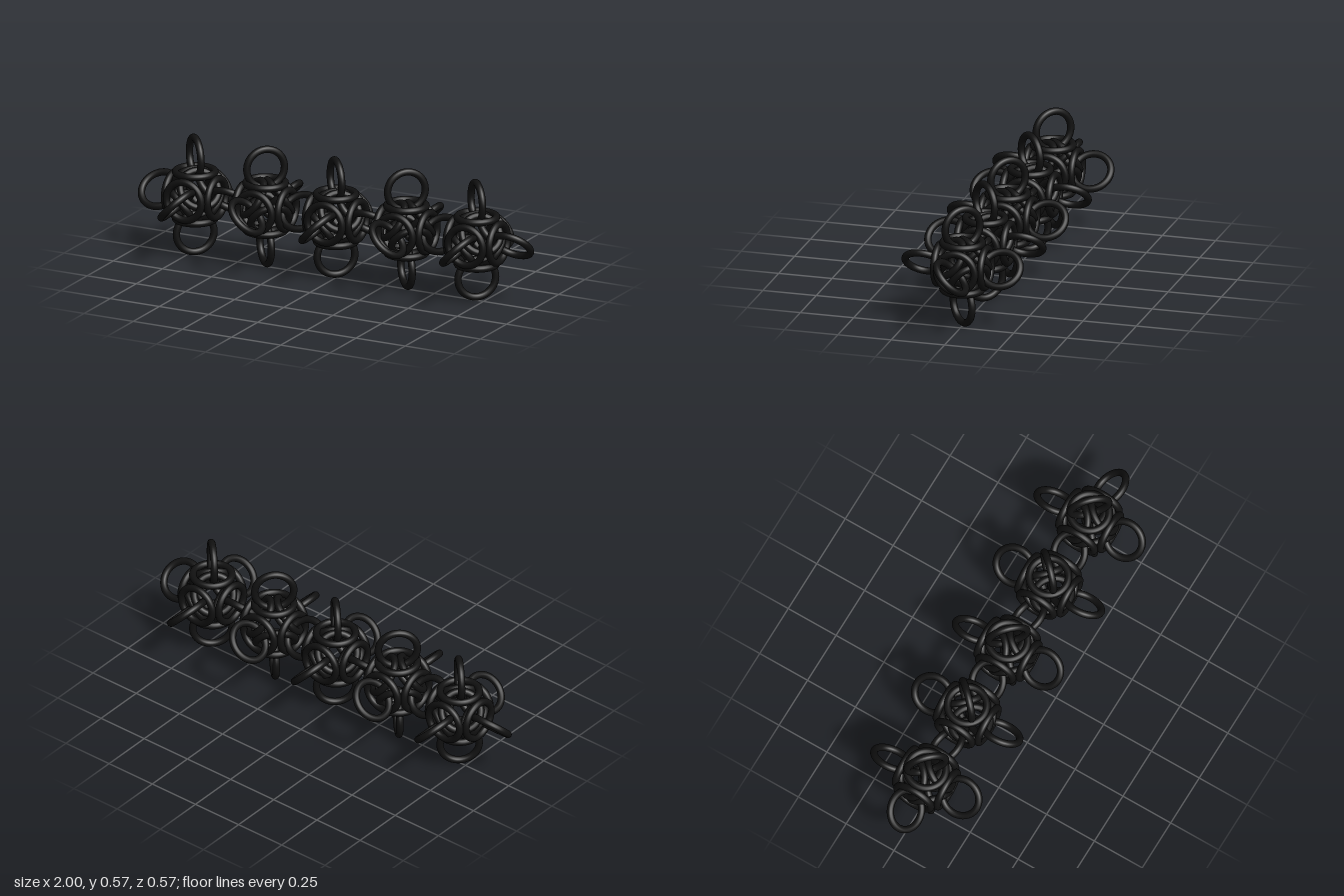
import * as THREE from 'three';

const PITCH = 0.358;        // distance between neighbouring knots
const RING = 0.0885;        // ring centreline radius
const WIRE = 0.0165;        // wire radius
const FACE_OFFSET = 0.109;  // face rings, along the axes
const CORNER_OFFSET = 0.079; // corner rings, along the cube diagonals
const LINK_OFFSET = PITCH / 2;
const CENTRE_Y = LINK_OFFSET + RING + WIRE;
const COUNT = 5;

export function createModel() {
  const model = new THREE.Group();
  model.name = 'ringChain';
  const material = new THREE.MeshStandardMaterial({ color: 0x111111 });
  const geometry = new THREE.TorusGeometry(RING, WIRE, 14, 48);
  const zAxis = new THREE.Vector3(0, 0, 1);

  // one closed wire ring, facing along its normal
  function addRing(parent, name, position, normal) {
    const ring = new THREE.Mesh(geometry, material);
    ring.name = name;
    ring.position.copy(position);
    ring.quaternion.setFromUnitVectors(zAxis, normal.clone().normalize());
    parent.add(ring);
  }

  for (let i = 0; i < COUNT; i++) {
    const knot = new THREE.Group();
    knot.name = 'knot' + (i + 1);
    knot.position.set((i - (COUNT - 1) / 2) * PITCH, CENTRE_Y, 0);
    const parity = i % 2 === 0 ? 1 : -1; // neighbours mirror each other

    // four corner rings in a tetrahedral arrangement
    for (const sx of [1, -1]) {
      for (const sy of [1, -1]) {
        const dir = new THREE.Vector3(sx, sy, sx * sy * parity).normalize();
        addRing(knot, 'cornerRing', dir.clone().multiplyScalar(CORNER_OFFSET), dir);
      }
    }

    for (let axis = 0; axis < 3; axis++) {
      for (const side of [1, -1]) {
        const dir = new THREE.Vector3().setComponent(axis, side);
        // ring lying flat on each side of the knot
        addRing(knot, 'faceRing', dir.clone().multiplyScalar(FACE_OFFSET), dir);

        // outer ring in a diagonal plane; neighbouring knots share theirs
        if (axis === 0 && side === -1 && i > 0) continue;
        const normal = new THREE.Vector3();
        normal.setComponent((axis + 1) % 3, 1);
        normal.setComponent((axis + 2) % 3, -side * parity);
        const shared = axis === 0 && side === 1 && i < COUNT - 1;
        addRing(knot, shared ? 'connectingRing' : 'outerRing',
          dir.clone().multiplyScalar(LINK_OFFSET), normal);
      }
    }
    model.add(knot);
  }
  return model;
}
